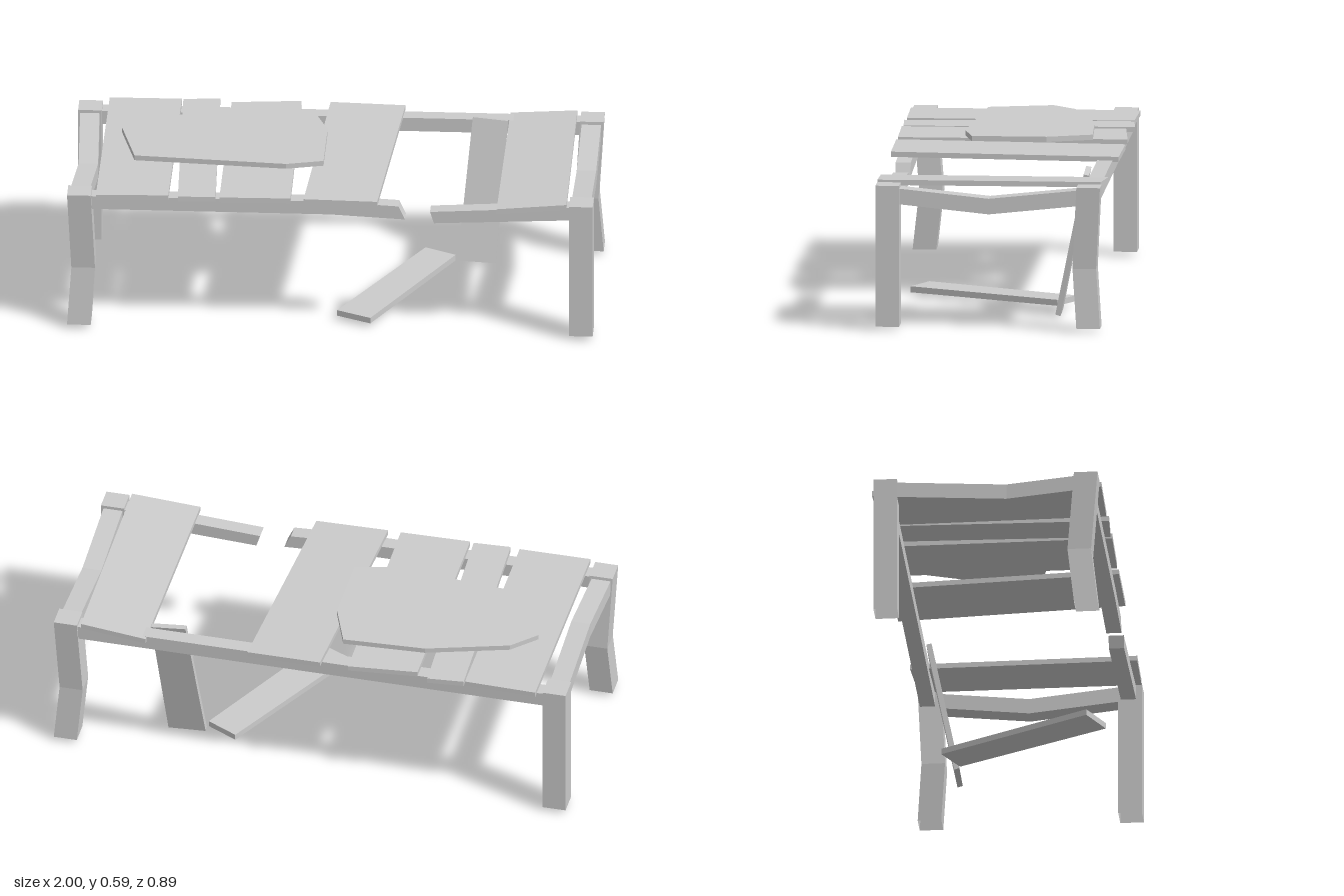
import * as THREE from 'three';

const material = new THREE.MeshStandardMaterial({ color: 0xcccccc, flatShading: true, side: THREE.DoubleSide });

// Skins a row of rings, each counter-clockwise seen from the end of the row.
function loft(name, rings, capStart = true) {
  const pos = [];
  const tri = (...pts) => pts.forEach((p) => pos.push(...p));
  const n = rings[0].length;
  for (let i = 0; i + 1 < rings.length; i++) {
    for (let j = 0; j < n; j++) {
      const k = (j + 1) % n;
      const a = rings[i][j], b = rings[i][k], c = rings[i + 1][k], d = rings[i + 1][j];
      tri(a, b, c);
      tri(a, c, d);
    }
  }
  const first = rings[0], last = rings[rings.length - 1];
  for (let j = 1; j + 1 < n; j++) {
    tri(last[0], last[j], last[j + 1]);
    if (capStart) tri(first[0], first[j + 1], first[j]);
  }
  const geometry = new THREE.BufferGeometry();
  geometry.setAttribute('position', new THREE.Float32BufferAttribute(pos, 3));
  geometry.computeVertexNormals();
  const mesh = new THREE.Mesh(geometry, material);
  mesh.name = name;
  return mesh;
}

// Flat board from an [x, z] outline, clockwise from above; base(x) is its underside height.
function board(name, outline, base, thickness) {
  const pts = outline.slice().reverse();
  const ring = (t) => pts.map(([x, z]) => [x, base(x) + t, z]);
  return loft(name, [ring(0), ring(thickness)]);
}

// Upright post through [x, y, z] centres, open at the foot.
function post(name, path, r) {
  return loft(name, path.map(([x, y, z]) =>
    [[x - r, y, z + r], [x + r, y, z + r], [x + r, y, z - r], [x - r, y, z - r]]), false);
}

// Rail along x: sections are [x at bottom, x at top, bottom, top].
function longRail(name, z, sections) {
  const r = 0.029;
  return loft(name, sections.map(([xb, xt, b, t]) =>
    [[xb, b, z + r], [xb, b, z - r], [xt, t, z - r], [xt, t, z + r]]));
}

// Rail along z: sections are [z, x centre, bottom].
function endRail(name, sections) {
  const r = 0.037, h = 0.06;
  return loft(name, sections.map(([z, x, b]) =>
    [[x - r, b, z], [x + r, b, z], [x + r, b + h, z], [x - r, b + h, z]]));
}

export function createModel() {
  const model = new THREE.Group();
  model.name = 'brokenTable';

  // Legs: two straight, two kinked inward
  const legs = [
    ['frontLeftLeg', 0.955, 0.385, 0, 0],
    ['backLeftLeg', 0.955, -0.38, -0.019, 0.016],
    ['frontRightLeg', -0.955, 0.385, 0.015, -0.026],
    ['backRightLeg', -0.955, -0.38, 0, 0],
  ];
  for (const [name, x, z, dx, dz] of legs) {
    model.add(post(name, [[x, 0.015, z], [x + dx, 0.243, z + dz], [x, 0.557, z]], 0.045));
  }

  // Frame: sagging end rails, whole back rail, snapped front rail
  model.add(
    endRail('leftEndRail', [[-0.335, 0.953, 0.485], [0, 0.953, 0.45], [0.34, 0.953, 0.485]]),
    endRail('rightEndRail', [[-0.335, -0.955, 0.485], [0.08, -0.938, 0.468], [0.34, -0.955, 0.485]]),
    longRail('backRail', -0.387, [[-0.91, -0.91, 0.49, 0.545], [0.91, 0.91, 0.49, 0.545]]),
    longRail('frontRailRight', 0.379, [[-0.91, -0.91, 0.492, 0.545], [0, 0, 0.492, 0.545], [0.285, 0.26, 0.478, 0.532]]),
    longRail('frontRailLeft', 0.379, [[0.395, 0.38, 0.465, 0.512], [0.91, 0.91, 0.49, 0.543]]),
  );

  // Top planks: outline, underside at its middle, slope across
  const planks = [
    [[[-0.885, -0.44], [-0.61, -0.437], [-0.615, 0.43], [-0.89, 0.435]], 0.545, 0.01],
    [[[-0.605, -0.438], [-0.465, -0.45], [-0.435, 0.43], [-0.578, 0.437]], 0.545, 0],
    [[[-0.42, -0.42], [-0.155, -0.445], [-0.15, 0.43], [-0.42, 0.435]], 0.545, 0],
    [[[-0.045, -0.445], [0.24, -0.44], [0.18, 0.432], [-0.1, 0.432]], 0.542, -0.015],
    [[[0.64, -0.43], [0.895, -0.42], [0.9, 0.43], [0.635, 0.437]], 0.534, 0.08],
  ];
  planks.forEach(([outline, y, slope], i) => {
    const mid = outline.reduce((s, p) => s + p[0], 0) / 4;
    model.add(board(`topPlank${i + 1}`, outline, (x) => y + slope * (x - mid), 0.02));
  });

  // Loose patch lying on the planks
  const patch = [[-0.82, -0.115], [-0.73, -0.205], [-0.42, -0.3], [-0.105, -0.316],
    [-0.04, -0.145], [-0.04, 0.14], [-0.18, 0.175], [-0.76, 0.13]];
  model.add(board('loosePatch', patch, () => 0.57, 0.02));

  // Plank fallen to the ground
  const fallen = [[0.325, -0.283], [0.443, -0.222], [0.15, 0.36], [0.02, 0.297]];
  model.add(board('fallenPlank', fallen, () => 0.016, 0.023));

  // Plank leaning on the back rail
  model.add(loft('leaningPlank', [
    [[0.45, 0.014, -0.225], [0.595, 0.006, -0.225], [0.595, 0, -0.245], [0.45, 0.008, -0.245]],
    [[0.502, 0.565, -0.336], [0.636, 0.552, -0.336], [0.636, 0.548, -0.356], [0.502, 0.561, -0.356]],
  ]));

  return model;
}
